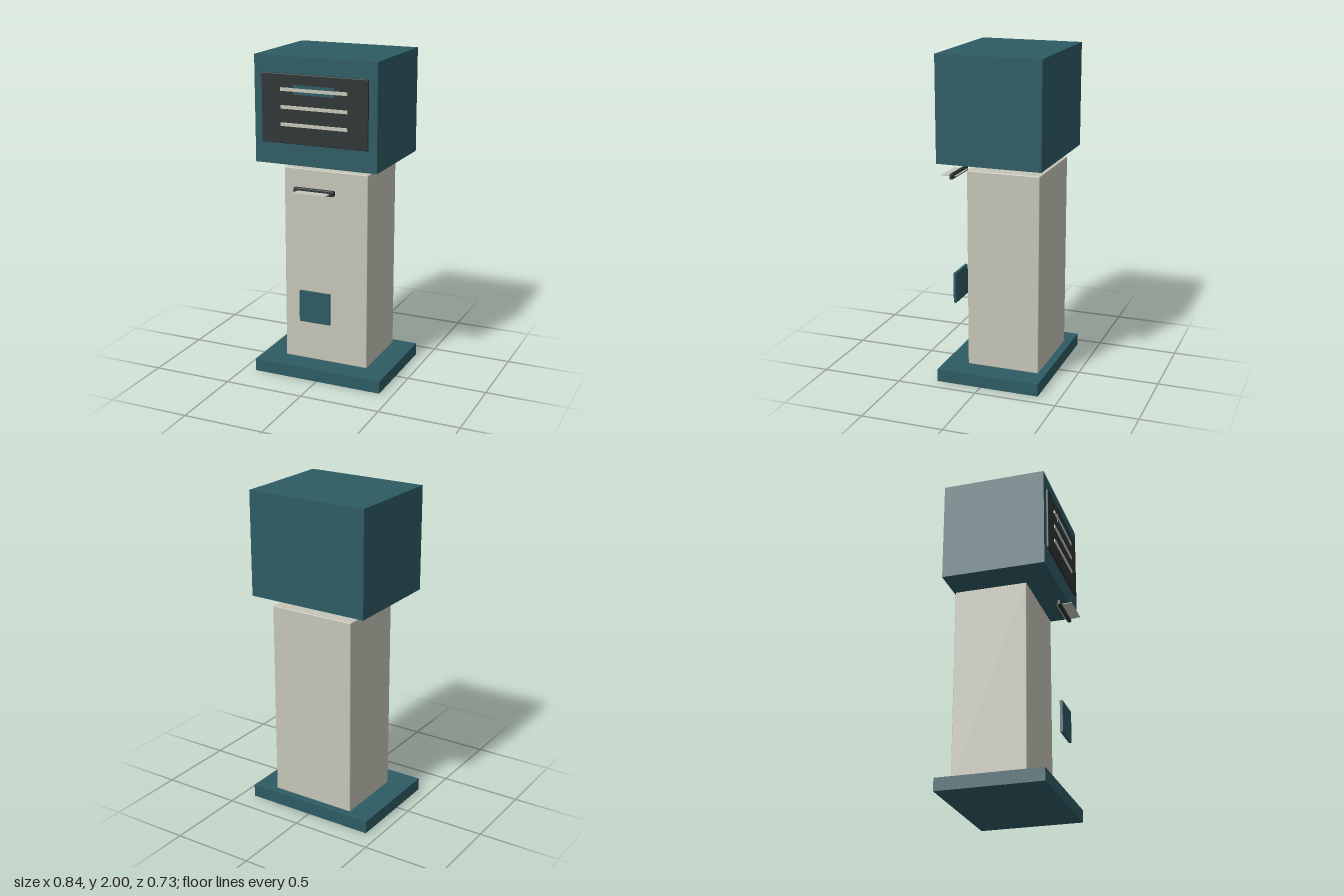
import * as THREE from 'three';
import { RoundedBoxGeometry } from 'three/addons/geometries/RoundedBoxGeometry.js';

const material = (name, color) => {
  const m = new THREE.MeshStandardMaterial({ color });
  m.name = name;
  return m;
};

export function createModel() {
  const group = new THREE.Group();
  group.name = 'kiosk';
  const teal = material('teal', 0x2d5b64);
  const cream = material('cream', 0xc6c5b8);
  const dark = material('charcoal', 0x2d3434);

  // Box centred on x = 0, given its width and its y and z ranges
  const box = (name, mat, width, y0, y1, z0, z1, radius = 0) => {
    const size = [width, y1 - y0, z1 - z0];
    const geometry = radius
      ? new RoundedBoxGeometry(...size, 2, radius)
      : new THREE.BoxGeometry(...size);
    const mesh = new THREE.Mesh(geometry, mat);
    mesh.name = name;
    mesh.position.set(0, (y0 + y1) / 2, (z0 + z1) / 2);
    group.add(mesh);
  };

  // Body
  box('base', teal, 0.836, 0, 0.078, -0.367, 0.277);
  box('column', cream, 0.546, 0.078, 1.305, -0.32, 0.131, 0.005);
  box('head', teal, 0.774, 1.36, 2, -0.367, 0.277);

  // Screen with a highlighted line
  box('screen', dark, 0.67, 1.49, 1.9, 0.275, 0.291, 0.004);
  box('screenHighlight', teal, 0.256, 1.783, 1.838, 0.288, 0.296);
  for (const y of [1.81, 1.706, 1.604]) {
    box('screenLine', cream, 0.42, y - 0.01, y + 0.01, 0.288, 0.298);
  }

  // Ticket slot with a protruding ticket
  box('ticketSlot', dark, 0.258, 1.201, 1.235, 0.281, 0.305, 0.006);
  box('ticket', cream, 0.205, 1.215, 1.219, 0.27, 0.367);

  // Service hatch
  box('hatch', teal, 0.198, 0.395, 0.59, 0.28, 0.297);

  return group;
}
